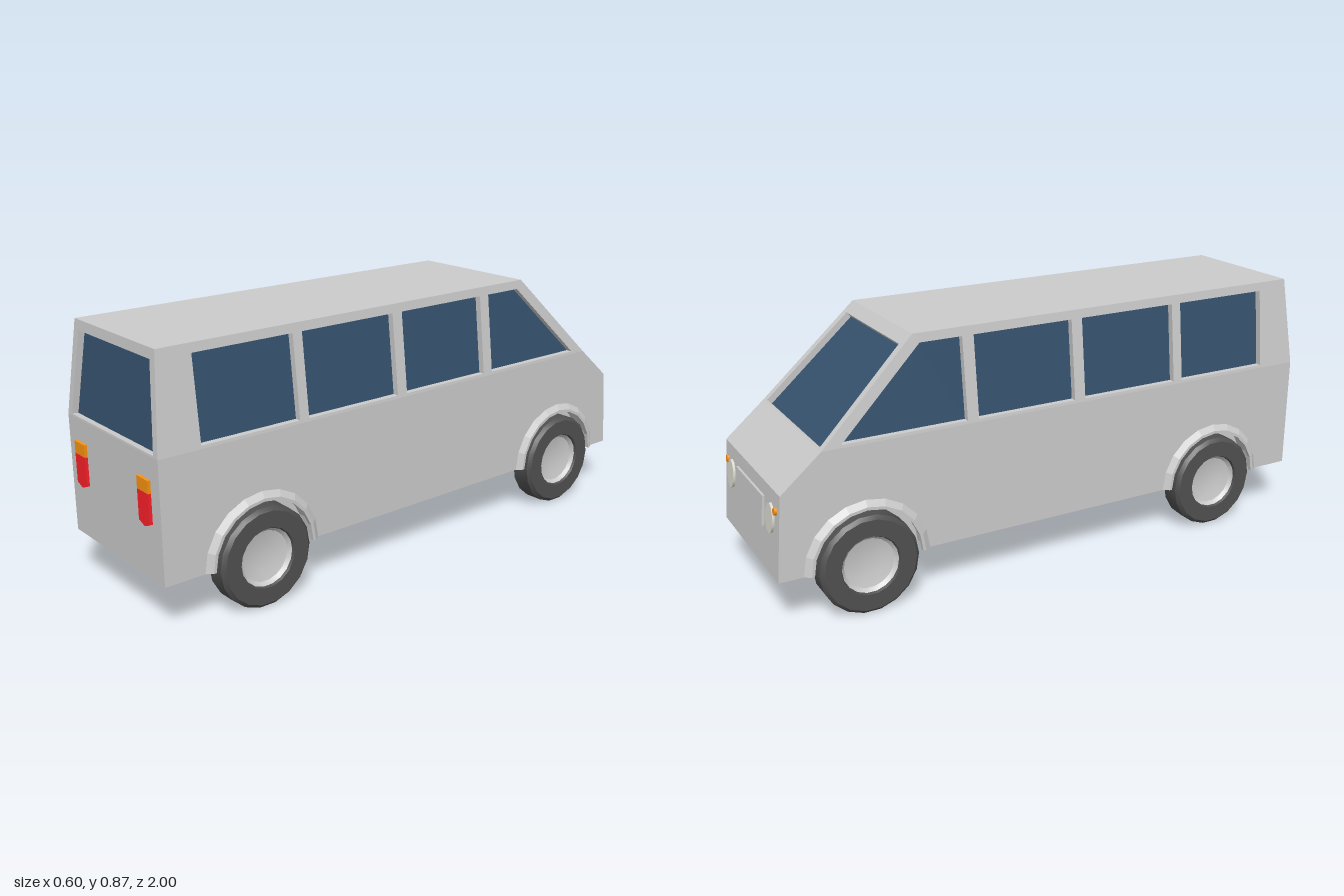
import * as THREE from 'three';
import { toCreasedNormals } from 'three/addons/utils/BufferGeometryUtils.js';

const mat = (color) => new THREE.MeshStandardMaterial({ color, side: THREE.DoubleSide });
const grey = mat(0xcccccc), glass = mat(0x35526d), rubber = mat(0x505050);
const orange = mat(0xfa9411), red = mat(0xfc2029);

// heights of the sill, bonnet edge, waistline and roof
const SILL = 0.17, NOSE = 0.45, WAIST = 0.565, ROOF = 0.875;
const HALF = 0.275, ROOF_HALF = 0.24, RECESS = 0.022;
const AXLES = [0.64, -0.707], ARCH_R = 0.2;

const toShape = (pts) => new THREE.Shape(pts.map(([a, b]) => new THREE.Vector2(a, b)));
// linear function through (a0, b0) and (a1, b1)
const line = (a0, b0, a1, b1) => (a) => b0 + (b1 - b0) * (a - a0) / (a1 - a0);

function add(parent, name, geometry, material = grey) {
  const mesh = new THREE.Mesh(geometry, material);
  mesh.name = name;
  parent.add(mesh);
  return mesh;
}

// flat sheet: a 2D shape carried into space by map(u, v) -> [x, y, z]
function sheet(parent, name, shape, map, material = grey) {
  const g = new THREE.ShapeGeometry(shape, 10);
  const p = g.attributes.position;
  for (let i = 0; i < p.count; i++) p.setXYZ(i, ...map(p.getX(i), p.getY(i)));
  g.computeVertexNormals();
  return add(parent, name, g, material);
}

// panel with recessed windows: frame, reveal strips and glass
function windowPanel(parent, name, outline, windows, map, inward) {
  const shape = toShape(outline);
  windows.forEach((w) => shape.holes.push(toShape(w)));
  sheet(parent, name + 'Frame', shape, map);
  const sunk = (u, v) => map(u, v).map((c, i) => c + inward[i] * RECESS);
  windows.forEach((w) => {
    const verts = [];
    w.forEach((a, i) => {
      const b = w[(i + 1) % w.length];
      const [p, q, r, s] = [map(...a), map(...b), sunk(...b), sunk(...a)];
      verts.push(...p, ...q, ...r, ...p, ...r, ...s);
    });
    const g = new THREE.BufferGeometry();
    g.setAttribute('position', new THREE.Float32BufferAttribute(verts, 3));
    g.computeVertexNormals();
    add(parent, name + 'Reveal', g);
    sheet(parent, name + 'Glass', toShape(w), sunk, glass);
  });
}

// profile of [radius, x] points turned about the x axis
function turned(pts, segments, start = 0, sweep = Math.PI * 2, crease = 0.5) {
  const g = new THREE.LatheGeometry(pts.map(([r, x]) => new THREE.Vector2(r, x)), segments, start, sweep);
  g.rotateZ(-Math.PI / 2);
  return toCreasedNormals(g, crease);
}

// everything on one flank; mirrored for the other
function buildFlank() {
  const flank = new THREE.Group();

  // lower side with wheel cut-outs
  const lower = new THREE.Shape();
  lower.moveTo(0.99, SILL);
  lower.lineTo(0.99, WAIST);
  lower.lineTo(-0.84, WAIST);
  lower.lineTo(-0.975, NOSE);
  lower.lineTo(-1, SILL);
  [...AXLES].reverse().forEach((z) => {
    lower.lineTo(z - ARCH_R, SILL);
    lower.absarc(z, SILL, ARCH_R, Math.PI, 0, true);
  });
  sheet(flank, 'lowerSide', lower, (z, y) => [HALF, y, z]);

  // upper side with four windows, leaning inwards
  const b = 0.575, t = 0.845;
  const windows = [[0.845, 0.49], [0.455, 0.09], [0.05, -0.31]]
    .map(([z0, z1]) => [[z0, b], [z0, t], [z1, t], [z1, b]]);
  windows.push([[-0.35, b], [-0.35, t], [-0.495, t], [-0.775, b]]);
  const lean = line(WAIST, HALF, ROOF, ROOF_HALF);
  windowPanel(flank, 'sideWindow',
    [[0.99, WAIST], [0.96, ROOF], [-0.517, ROOF], [-0.84, WAIST]],
    windows, (z, y) => [lean(y), y, z], [-1, 0, 0]);

  AXLES.forEach((z) => {
    // flared arch running inwards to a closed wheel well
    const arch = add(flank, 'wheelArch', turned(
      [[0.212, HALF], [0.192, 0.29], [0.182, 0.29], [0.182, 0.275], [0.2, 0.27], [0.2, 0.205], [0, 0.205]],
      10, Math.PI, Math.PI, 0.1));
    arch.position.set(0, SILL, z);

    const wheel = new THREE.Group();
    wheel.name = 'wheel';
    wheel.position.set(0, 0.167, z);
    add(wheel, 'tyre', turned(
      [[0.096, 0.21], [0.15, 0.21], [0.167, 0.222], [0.167, 0.288], [0.155, 0.3], [0.1, 0.3], [0.096, 0.292], [0.096, 0.21]],
      18), rubber);
    add(wheel, 'hub', turned([[0.096, 0.292], [0.085, 0.28], [0.05, 0.272], [0, 0.27]], 18));
    flank.add(wheel);
  });

  // tail lamp: orange block above a pointed red one
  const lamp = (name, pts, material) => {
    const g = new THREE.ExtrudeGeometry(toShape(pts), { depth: 0.012, bevelEnabled: false });
    add(flank, name, g, material).position.z = 0.988;
  };
  lamp('tailLampRed', [[0.163, 0.45], [0.163, 0.353], [0.194, 0.341], [0.226, 0.353], [0.226, 0.45]], red);
  lamp('tailLampOrange', [[0.163, 0.45], [0.226, 0.45], [0.226, 0.491], [0.163, 0.491]], orange);

  // headlamp and indicator lie on the sloping nose
  const lamps = new THREE.Group();
  lamps.name = 'noseLamps';
  lamps.position.set(0, NOSE, -0.975);
  lamps.rotation.x = Math.atan2(0.025, 0.28);
  const disc = (name, x, y, rx, ry, sides, material) => {
    const g = new THREE.CylinderGeometry(1, 1, 0.016, sides);
    g.rotateX(Math.PI / 2).scale(rx, ry, 1);
    add(lamps, name, g, material).position.set(x, y, 0);
  };
  disc('headlamp', 0.2, -0.095, 0.034, 0.05, 10, mat(0xdcdcd2));
  disc('indicator', 0.243, -0.058, 0.011, 0.013, 8, orange);
  flank.add(lamps);
  return flank;
}

export function createModel() {
  const van = new THREE.Group();
  van.name = 'van';

  [1, -1].forEach((s) => {
    const flank = buildFlank();
    flank.name = s > 0 ? 'leftFlank' : 'rightFlank';
    flank.scale.x = s;
    van.add(flank);
  });

  const band = (w0, y0, w1, y1) => [[-w0, y0], [w0, y0], [w1, y1], [-w1, y1]];
  const slope = (y0, z0, y1, z1) => {
    const f = line(y0, z0, y1, z1);
    return (x, y) => [x, y, f(y)];
  };

  // roof and plain end panels
  sheet(van, 'roof', toShape(band(ROOF_HALF, -0.517, ROOF_HALF, 0.96)), (x, z) => [x, ROOF, z]);
  sheet(van, 'tailPanel', toShape(band(HALF, SILL, HALF, WAIST)), (x, y) => [x, y, 0.99]);
  sheet(van, 'nosePanel', toShape(band(HALF, SILL, HALF, NOSE)), slope(SILL, -1, NOSE, -0.975));
  sheet(van, 'bonnet', toShape(band(HALF, NOSE, HALF, WAIST)), slope(NOSE, -0.975, WAIST, -0.84));

  // glazed end panels
  const upper = band(HALF, WAIST, ROOF_HALF, ROOF);
  const pane = [band(0.25, 0.571, 0.215, 0.842)];
  windowPanel(van, 'tailWindow', upper, pane, slope(WAIST, 0.99, ROOF, 0.96), [0, -0.1, -0.99]);
  windowPanel(van, 'windscreen', upper, pane, slope(WAIST, -0.84, ROOF, -0.517), [0, -0.72, 0.69]);

  // plate between the headlamps
  const plate = add(van, 'grillePlate', new THREE.BoxGeometry(0.27, 0.1, 0.016));
  plate.position.set(0, 0.353, -0.984);
  plate.rotation.x = Math.atan2(0.025, 0.28);
  return van;
}
